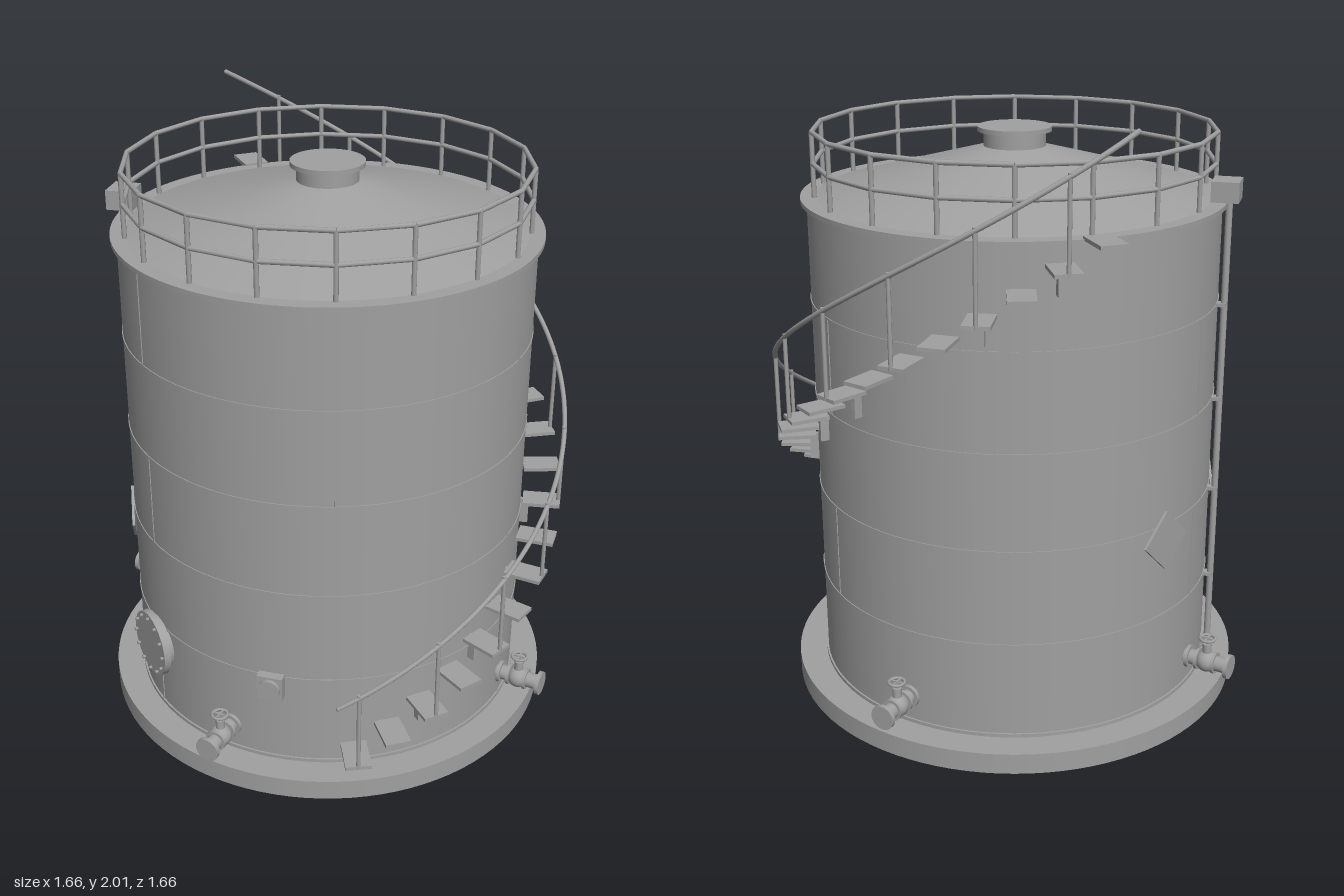
import * as THREE from 'three';

const deg = Math.PI / 180;
const steel = new THREE.MeshStandardMaterial({ color: 0xa0a0a0 });
steel.name = 'grey steel';

function mesh(name, geometry, parent, x = 0, y = 0, z = 0) {
  const m = new THREE.Mesh(geometry, steel);
  m.name = name;
  m.position.set(x, y, z);
  parent.add(m);
  return m;
}

// Upright cylinder, and one lying along z
const cyl = (r, h, n = 24) => new THREE.CylinderGeometry(r, r, h, n);
const cylZ = (r, h, n = 24) => cyl(r, h, n).rotateX(Math.PI / 2);

// Group turned about the tank axis; its contents are built facing +z
function around(name, degrees, parent) {
  const g = new THREE.Group();
  g.name = name;
  g.rotation.y = degrees * deg;
  parent.add(g);
  return g;
}

const polar = (degrees, r, y) =>
  new THREE.Vector3(r * Math.sin(degrees * deg), y, r * Math.cos(degrees * deg));

// Straight round bar between two points
function bar(name, a, b, r, parent) {
  const m = mesh(name, cyl(r, a.distanceTo(b), 8), parent);
  m.position.copy(a).add(b).multiplyScalar(0.5);
  m.quaternion.setFromUnitVectors(new THREE.Vector3(0, 1, 0), b.clone().sub(a).normalize());
}

function buildTank(root) {
  mesh('base', cyl(0.77, 0.07, 96), root, 0, 0.035, 0);
  mesh('shell', cyl(0.67, 1.62, 96), root, 0, 0.88, 0);
  mesh('topFlange', cyl(0.69, 0.015, 96), root, 0, 1.685, 0);
  mesh('bottomCurb', cyl(0.676, 0.012, 96), root, 0, 0.076, 0);

  // Weld seams: rings between courses, staggered uprights
  for (let i = 0; i < 5; i++) {
    const y = 0.08 + i * 0.32;
    if (i > 0) mesh('ringSeam', cyl(0.673, 0.006, 96), root, 0, y, 0);
    for (let k = 0; k < 3; k++) {
      const g = around('seam', (i % 2 ? 30 : -30) + k * 120, root);
      mesh('uprightSeam', new THREE.BoxGeometry(0.006, 0.32, 0.006), g, 0, y + 0.16, 0.67);
    }
  }

  // Low roof with a central vent
  mesh('roof', new THREE.CylinderGeometry(0.1, 0.65, 0.15, 96), root, 0, 1.765, 0);
  mesh('ventNeck', cyl(0.1, 0.07, 48), root, 0, 1.86, 0);
  mesh('ventCap', cyl(0.12, 0.015, 48), root, 0, 1.895, 0);
}

function buildRailing(root) {
  const g = around('roofRailing', 0, root);
  for (let i = 0; i < 18; i++) {
    const a = 90 + i * 20, b = a + 20;
    bar('railingPost', polar(a, 0.645, 1.69), polar(a, 0.645, 1.9), 0.008, g);
    for (const y of [1.8, 1.9]) bar('railingBar', polar(a, 0.645, y), polar(b, 0.645, y), 0.008, g);
  }
}

function buildStairs(root) {
  const stairs = around('spiralStairs', 0, root);
  const angle = t => 35 + t * 9.29;
  const height = t => 0.15 + t * 0.0735;
  for (let t = 0; t < 22; t++) {
    const g = around('step', angle(t), stairs);
    mesh('tread', new THREE.BoxGeometry(0.085, 0.012, 0.125), g, 0, height(t), 0.74);
    if (t % 2 === 0) {
      mesh('treadBracket', new THREE.BoxGeometry(0.015, 0.09, 0.03), g, 0, height(t) - 0.045, 0.683);
      mesh('handrailPost', cyl(0.007, 0.29, 8), g, 0, height(t) + 0.14, 0.797);
    }
  }
  const pts = [];
  for (let i = 0; i <= 40; i++) {
    const t = -0.5 + i * 22 / 40;
    pts.push(polar(angle(t), 0.798, height(t) + 0.275));
  }
  mesh('handrail', new THREE.TubeGeometry(new THREE.CatmullRomCurve3(pts), 120, 0.008, 8), stairs);
  // Caps for the ends of the handrail
  for (const p of [pts[0], pts[40]]) mesh('handrailEnd', new THREE.SphereGeometry(0.008, 8, 6), stairs, p.x, p.y, p.z);
}

// Outlet pipe with a valve, repeated on four sides
function buildNozzle(root, degrees) {
  const g = around('nozzle', degrees, root);
  const y = 0.17;
  mesh('pipe', cylZ(0.026, 0.17), g, 0, y, 0.745);
  mesh('wallFlange', cylZ(0.038, 0.012), g, 0, y, 0.682);
  mesh('valveFlange', cylZ(0.036, 0.01), g, 0, y, 0.715);
  mesh('valveFlange', cylZ(0.036, 0.01), g, 0, y, 0.775);
  mesh('endFlange', cylZ(0.041, 0.014), g, 0, y, 0.824);
  mesh('valveBody', new THREE.SphereGeometry(0.037, 20, 14), g, 0, y, 0.745);
  mesh('valveNeck', cyl(0.015, 0.04, 16), g, 0, y + 0.045, 0.745);
  mesh('valveStem', cyl(0.006, 0.06, 10), g, 0, y + 0.06, 0.745);
  mesh('handwheel', new THREE.TorusGeometry(0.025, 0.005, 8, 24).rotateX(Math.PI / 2), g, 0, 0.255, 0.745);
  for (const a of [0, 90]) {
    mesh('handwheelSpoke', new THREE.BoxGeometry(0.05, 0.005, 0.006), g, 0, 0.255, 0.745).rotation.y = a * deg;
  }
}

function buildFittings(root) {
  // Manhole with bolted cover
  const hole = around('manhole', -30.6, root);
  mesh('manholeNeck', cylZ(0.095, 0.06, 40), hole, 0, 0.325, 0.675);
  mesh('manholeCover', cylZ(0.114, 0.024, 48), hole, 0, 0.325, 0.695);
  for (let i = 0; i < 12; i++) {
    const a = i * 30 * deg;
    mesh('coverBolt', cylZ(0.006, 0.012, 6), hole, 0.1 * Math.sin(a), 0.325 + 0.1 * Math.cos(a), 0.711);
  }

  // Small square port
  const port = around('squarePort', 12.5, root);
  mesh('portPlate', new THREE.BoxGeometry(0.085, 0.085, 0.035), port, 0, 0.37, 0.682);
  mesh('portLid', cylZ(0.036, 0.015), port, 0, 0.37, 0.705);

  // Diamond sign plates
  for (const a of [-56, -105]) {
    const sign = around('sign', a, root);
    mesh('diamondPlate', new THREE.BoxGeometry(0.142, 0.142, 0.009), sign, 0, 0.67, 0.676).rotation.z = 45 * deg;
  }

  // Level gauge: head box, long pipe and clips
  const gauge = around('levelGauge', -75, root);
  mesh('gaugeHead', new THREE.BoxGeometry(0.1, 0.065, 0.088), gauge, 0, 1.732, 0.685);
  mesh('gaugePipe', cyl(0.011, 1.6, 12), gauge, 0, 0.9, 0.695);
  mesh('gaugeFoot', new THREE.BoxGeometry(0.035, 0.045, 0.035), gauge, 0, 0.14, 0.69);
  for (const y of [0.4, 0.72, 1.04, 1.36]) {
    mesh('gaugeClip', new THREE.BoxGeometry(0.03, 0.012, 0.035), gauge, 0, y, 0.685);
  }
}

export function createModel() {
  const root = new THREE.Group();
  root.name = 'storageTank';
  buildTank(root);
  buildRailing(root);
  buildStairs(root);
  for (let i = 0; i < 4; i++) buildNozzle(root, i * 90);
  buildFittings(root);
  return root;
}
